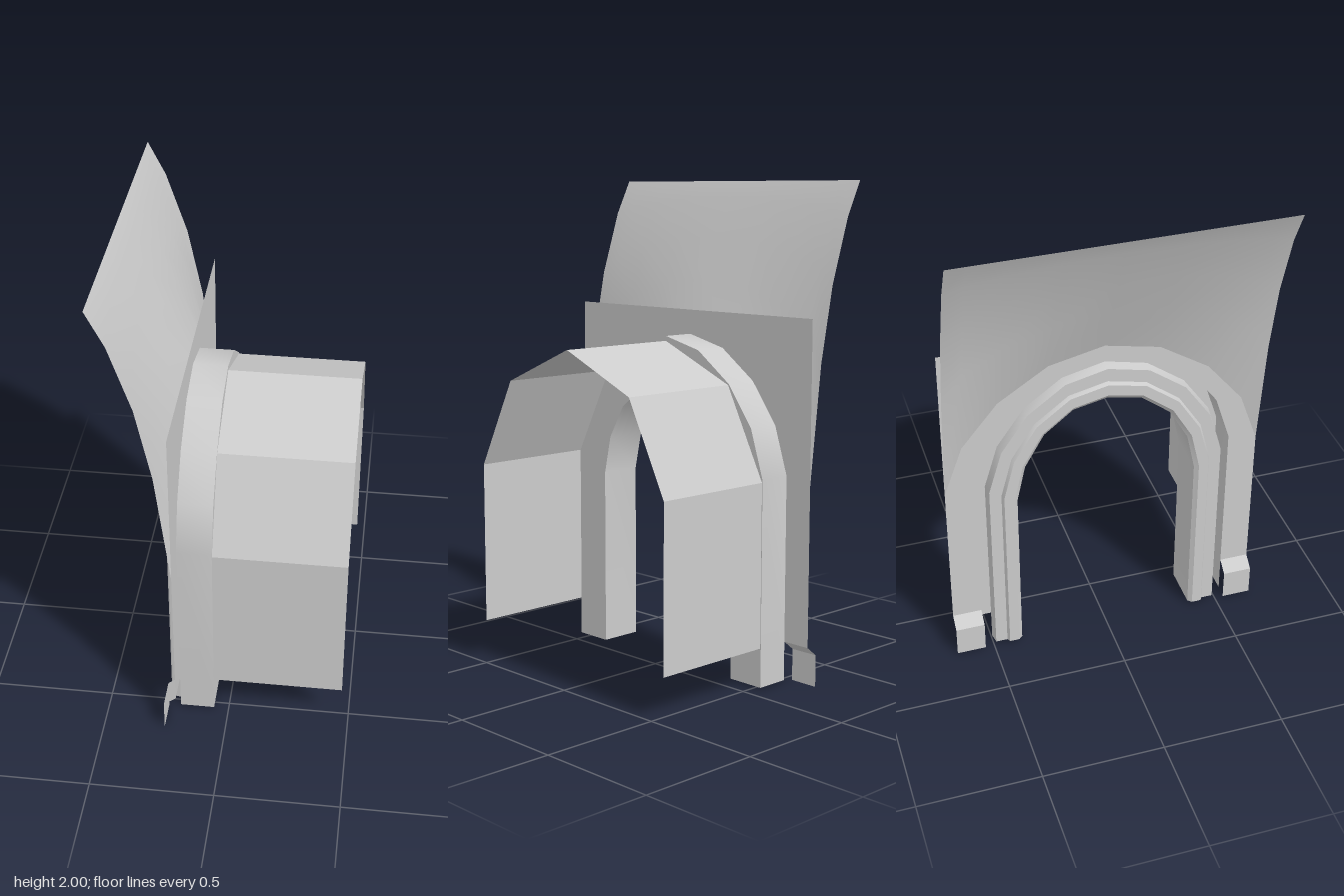
import * as THREE from 'three';

const material = (flatShading = false) =>
  new THREE.MeshStandardMaterial({ color: 0xcccccc, side: THREE.DoubleSide, flatShading });

// Sheet through equal-length rows of [x, y, z] points.
function sheet(rows) {
  const n = rows[0].length, index = [];
  for (let i = 0; i < rows.length - 1; i++) {
    for (let j = 0; j < n - 1; j++) {
      const a = i * n + j, b = a + n;
      index.push(a, b, a + 1, b, b + 1, a + 1);
    }
  }
  const g = new THREE.BufferGeometry();
  g.setAttribute('position', new THREE.Float32BufferAttribute(rows.flat(2), 3));
  g.setIndex(index);
  g.computeVertexNormals();
  return g;
}

// Complete a half outline of [z, y] points (foot to crown) by mirroring.
const mirror = half => [...half, ...half.slice(0, -1).reverse().map(([z, y]) => [-z, y])];
const lerp = THREE.MathUtils.lerp;

export function createModel() {
  const group = new THREE.Group();
  const add = (name, geometry, flat, parent = group) => {
    const mesh = new THREE.Mesh(geometry, material(flat));
    mesh.name = name;
    parent.add(mesh);
  };

  const inner = mirror([[0.375, 0.015], [0.375, 0.76], [0.34, 0.92], [0.26, 1.06], [0.14, 1.155], [0, 1.185]]);
  const outer = mirror([[0.538, 0.015], [0.538, 0.85], [0.475, 1.045], [0.353, 1.21], [0.185, 1.33], [0, 1.375]]);

  // Arch surround: hollow moulding, [inner-to-outer fraction, x], one band per facet
  const surround = new THREE.Group();
  surround.name = 'archSurround';
  group.add(surround);
  const profile = [[1, -0.2], [1, -0.06], [0, -0.06], [0, -0.24], [0.1, -0.255],
    [0.35, -0.255], [0.4, -0.24], [0.7, -0.24], [0.75, -0.2]];
  const ring = ([f, x]) => inner.map(([z, y], i) => [x, lerp(y, outer[i][1], f), lerp(z, outer[i][0], f)]);
  for (let i = 0; i < profile.length - 1; i++) {
    add('archBand', sheet([ring(profile[i]), ring(profile[i + 1])]), false, surround);
  }

  // Flat wall around the arch
  const wall = new THREE.Shape();
  [[-0.66, 0.175], [-0.66, 1.475], [0.66, 1.475], [0.66, 0.175], [0.538, 0.175],
    ...outer.slice(1, -1), [-0.538, 0.175]]
    .forEach(([z, y], i) => (i ? wall.lineTo(z, y) : wall.moveTo(z, y)));
  add('wall', new THREE.ShapeGeometry(wall).rotateY(Math.PI / 2).translate(-0.2, 0, 0), true);

  // Flared skirting at both feet of the wall
  for (const s of [1, -1]) {
    const rows = [[-0.2, 0.175], [-0.25, 0.135], [-0.25, 0.005]]
      .map(([x, y]) => [[x, y, s * 0.538], [x, y, s * 0.66]]);
    add('skirting', sheet(rows).toNonIndexed(), true);
  }

  // Faceted barrel passage behind the arch
  const barrel = mirror([[0.535, 0.175], [0.535, 0.84], [0.35, 1.205], [0, 1.355]]);
  add('barrelVault', sheet([-0.06, 0.47].map(x => barrel.map(([z, y]) => [x, y, z]))).toNonIndexed(), true);

  // Curved ceiling panel, its lower edge arched over the opening
  const side = [[-0.2, 0.82], [-0.255, 1.3], [-0.315, 1.6], [-0.4, 1.86], [-0.47, 2]];
  const crown = [[-0.2, 1.4], [-0.285, 1.6], [-0.36, 1.77], [-0.43, 1.93], [-0.47, 2]];
  const columns = outer.slice(1, -1).map(([z, y]) => {
    const w = (y - 0.85) / 0.525;
    return side.map(([x, h], i) => [lerp(x, crown[i][0], w), lerp(h, crown[i][1], w), z * 0.66 / 0.538]);
  });
  add('ceilingPanel', sheet(columns));

  return group;
}
